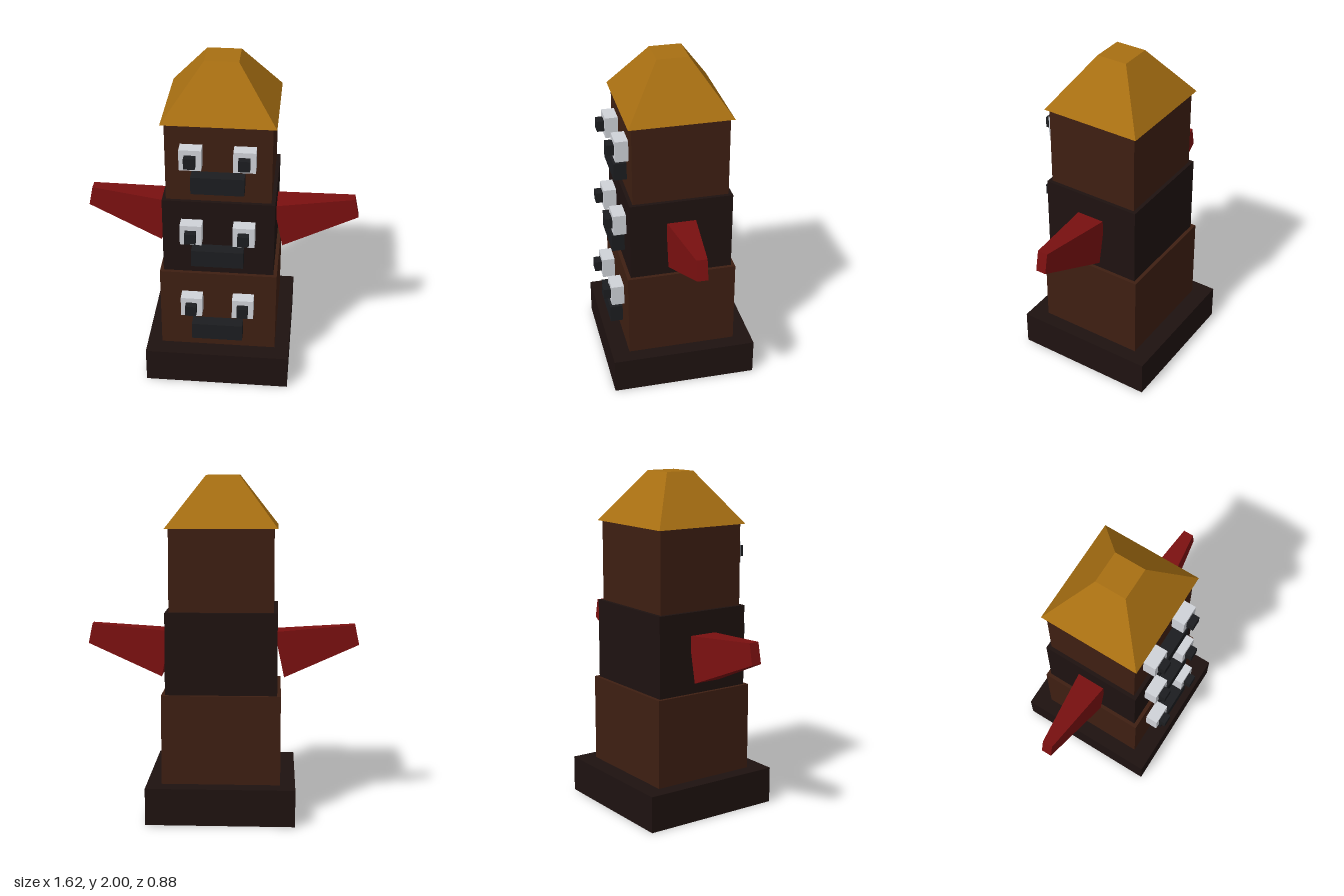
import * as THREE from 'three';

const mat = (color) => new THREE.MeshStandardMaterial({ color, flatShading: true });

function add(parent, name, geometry, material, x, y, z) {
  const mesh = new THREE.Mesh(geometry, material);
  mesh.name = name;
  mesh.position.set(x, y, z);
  parent.add(mesh);
  return mesh;
}

// Box whose top face has its own width and depth
function taperedBox(w, d, topW, topD, h) {
  const geo = new THREE.BoxGeometry(w, h, d);
  const p = geo.attributes.position;
  for (let i = 0; i < p.count; i++) {
    if (p.getY(i) > 0) {
      p.setX(i, Math.sign(p.getX(i)) * topW / 2);
      p.setZ(i, Math.sign(p.getZ(i)) * topD / 2);
    }
  }
  geo.computeVertexNormals();
  return geo;
}

export function createModel() {
  const group = new THREE.Group();
  const brown = mat(0x3e1f12), dark = mat(0x1e1210), red = mat(0x7a1010);
  const gold = mat(0xa86f12), white = mat(0xcfd2d8), black = mat(0x1c1d20);
  const cz = -0.005; // pole axis, set back slightly by the protruding faces

  // Plinth
  add(group, 'base', new THREE.BoxGeometry(0.866, 0.216, 0.866), dark, 0, 0.108, cz);

  // Three stacked blocks, each with a face
  const blocks = [
    { name: 'lower', y0: 0.216, y1: 0.74, w: 0.692, d: 0.65, m: brown, eyeY: 0.545, mouthY: 0.367 },
    { name: 'middle', y0: 0.74, y1: 1.22, w: 0.65, d: 0.606, m: dark, eyeY: 1.039, mouthY: 0.88 },
    { name: 'upper', y0: 1.22, y1: 1.7, w: 0.606, d: 0.563, m: brown, eyeY: 1.518, mouthY: 1.357 },
  ];
  for (const b of blocks) {
    const section = new THREE.Group();
    section.name = b.name + 'Section';
    group.add(section);
    add(section, 'block', new THREE.BoxGeometry(b.w, b.y1 - b.y0, b.d), b.m, 0, (b.y0 + b.y1) / 2, cz);
    const front = cz + b.d / 2;
    for (const [side, s] of [['left', 1], ['right', -1]]) {
      add(section, side + 'Eye', new THREE.BoxGeometry(0.126, 0.126, 0.086), white, s * 0.152, b.eyeY, front + 0.033);
      add(section, side + 'Pupil', new THREE.BoxGeometry(0.065, 0.065, 0.065), black, s * 0.152, b.eyeY, front + 0.0865);
    }
    add(section, 'mouth', new THREE.BoxGeometry(0.303, 0.106, 0.086), black, 0, b.mouthY, front + 0.033);
  }

  // Tapered wings: thick at the pole, narrow at the raised tip
  const rootTop = [0.308, 1.082], rootLow = [0.365, 0.81];
  const tipTop = [0.785, 1.12], tipLow = [0.81, 1.0];
  for (const [side, s] of [['left', 1], ['right', -1]]) {
    const geo = new THREE.BoxGeometry(2, 2, 2);
    const p = geo.attributes.position;
    for (let i = 0; i < p.count; i++) {
      const tip = p.getX(i) * s > 0, top = p.getY(i) > 0;
      const [x, y] = tip ? (top ? tipTop : tipLow) : (top ? rootTop : rootLow);
      p.setXYZ(i, s * x, y, p.getZ(i) * (tip ? 0.031 : 0.087));
    }
    geo.computeVertexNormals();
    add(group, side + 'Wing', geo, red, 0, 0, cz);
  }

  // Flat-topped pyramid cap
  add(group, 'cap', taperedBox(0.648, 0.604, 0.194, 0.185, 0.3), gold, 0, 1.85, cz);

  return group;
}
